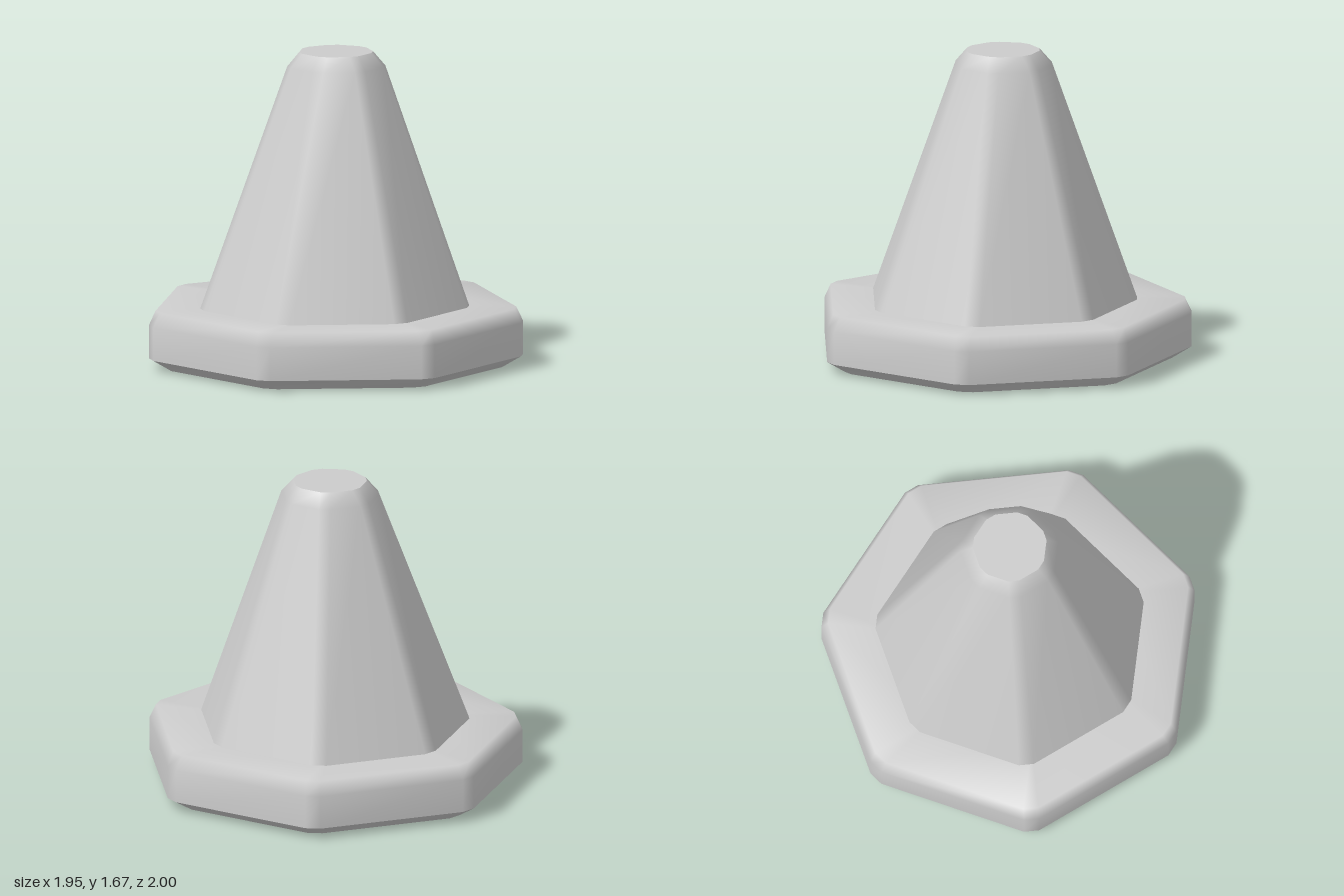
import * as THREE from 'three';

const SIDES = 7;

// Heptagon outline with a corner pointing to +x; each corner is cut by d (d = null keeps 7 sharp corners)
function ring([r, y, cx, d]) {
  const corner = i => new THREE.Vector3(
    cx + r * Math.cos(i * 2 * Math.PI / SIDES), y, r * Math.sin(i * 2 * Math.PI / SIDES));
  const points = [];
  for (let i = 0; i < SIDES; i++) {
    const c = corner(i);
    if (d === null) { points.push(c); continue; }
    for (const step of [-1, 1]) {
      const dir = corner(i + step).sub(c).normalize();
      points.push(c.clone().addScaledVector(dir, d));
    }
  }
  return points;
}

// Skin a list of rings; shared vertices give soft, area-weighted bevels
function loft(name, rings, material) {
  const outlines = rings.map(ring);
  const n = outlines[0].length;
  const index = [];
  for (let k = 0; k < outlines.length - 1; k++) {
    for (let i = 0; i < n; i++) {
      const j = (i + 1) % n;
      const a = k * n + i, b = k * n + j, c = a + n, d = b + n;
      if (rings[k][0] > 0) index.push(b, a, c);
      if (rings[k + 1][0] > 0) index.push(b, c, d);
    }
  }
  // A collapsed ring above a wide one still needs its closing triangles
  const geometry = new THREE.BufferGeometry().setFromPoints(outlines.flat());
  geometry.setIndex(index);
  geometry.computeVertexNormals();
  const mesh = new THREE.Mesh(geometry, material);
  mesh.name = name;
  return mesh;
}

export function createModel() {
  const group = new THREE.Group();
  group.name = 'trafficCone';
  const grey = new THREE.MeshStandardMaterial({ color: 0xcccccc });
  const cx = -0.0425; // heptagon axis, so that the bounds are centred

  // Each ring: radius to the sharp corner, height, centre x, corner cut
  const parts = {
    // Base slab: upright rim, soft upper bevel and top surface
    baseRim: [[1.035, 0.06, cx, 0.045], [1.035, 0.24, cx, 0.045],
      [0.999, 0.315, cx, 0.045], [0.65, 0.315, cx, 0.045]],
    // Slanted lower edge
    baseLowerEdge: [[0.935, 0, cx, 0.045], [1.035, 0.06, cx, 0.045]],
    // Flat underside around the opening
    baseUnderside: [[0.69, 0, cx, 0], [0.935, 0, cx, 0.045]],
    // Tapering body with a bevelled rim
    coneBody: [[0.747, 0.315, -0.046, 0.045], [0.277, 1.6, -0.0255, 0.035],
      [0.21, 1.675, -0.0255, 0.032]],
    coneTop: [[0.21, 1.675, -0.0255, 0.032], [0, 1.675, -0.0255, 0]],
    // Hollow inside, open at the bottom
    hollowInterior: [[0.13, 1.52, -0.03, null], [0.69, 0, cx, null]],
    hollowCeiling: [[0, 1.52, -0.03, null], [0.13, 1.52, -0.03, null]],
  };
  for (const [name, rings] of Object.entries(parts)) group.add(loft(name, rings, grey));
  return group;
}
